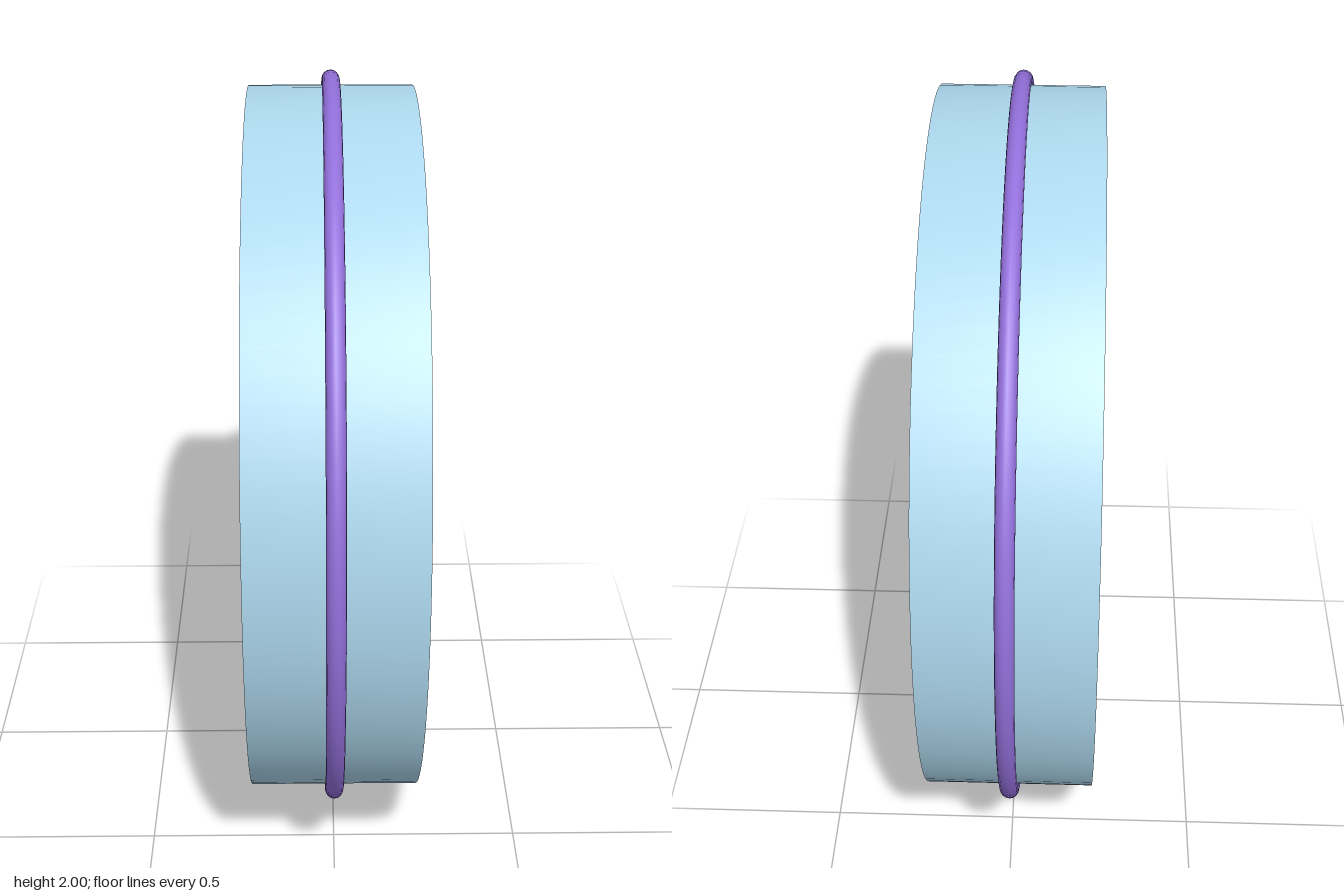
import * as THREE from 'three';

const RADIUS = 0.96, HALF_EDGE = 0.22, DISH = 0.13, RINGS = 20;

// Half thickness of the biconcave body at radius r
function halfThickness(r) {
  const sphere = (RADIUS * RADIUS + DISH * DISH) / (2 * DISH);
  const depth = Math.sqrt(sphere * sphere - r * r) - (sphere - DISH);
  return HALF_EDGE - depth;
}

function addMesh(group, name, geometry, color) {
  const mesh = new THREE.Mesh(geometry, new THREE.MeshStandardMaterial({ color }));
  mesh.name = name;
  group.add(mesh);
  return mesh;
}

export function createModel() {
  const group = new THREE.Group();
  group.name = 'concaveLens';

  // Lens body: dished on both sides, with one smooth band as its edge
  const lower = [], upper = [];
  for (let i = 0; i <= RINGS; i++) {
    const r = (RADIUS * i) / RINGS;
    lower.push(new THREE.Vector2(r, -halfThickness(r)));
    upper.unshift(new THREE.Vector2(r, halfThickness(r)));
  }
  const body = new THREE.LatheGeometry([...lower, ...upper], 96);
  body.rotateZ(-Math.PI / 2);
  addMesh(group, 'lensBody', body, 0xadd8ee).position.y = 1;

  // Thin ring around the middle of the edge
  const ring = new THREE.TorusGeometry(0.976, 0.024, 16, 96);
  ring.rotateY(Math.PI / 2);
  addMesh(group, 'rimRing', ring, 0x9370db).position.y = 1;

  // Slim bar half sunk in one dish
  const bar = new THREE.CylinderGeometry(0.012, 0.012, 0.6, 12);
  bar.rotateX(Math.PI / 2);
  addMesh(group, 'sunkenBar', bar, 0x8a8078).position.set(-halfThickness(0.3), 1.3, 0);

  return group;
}
